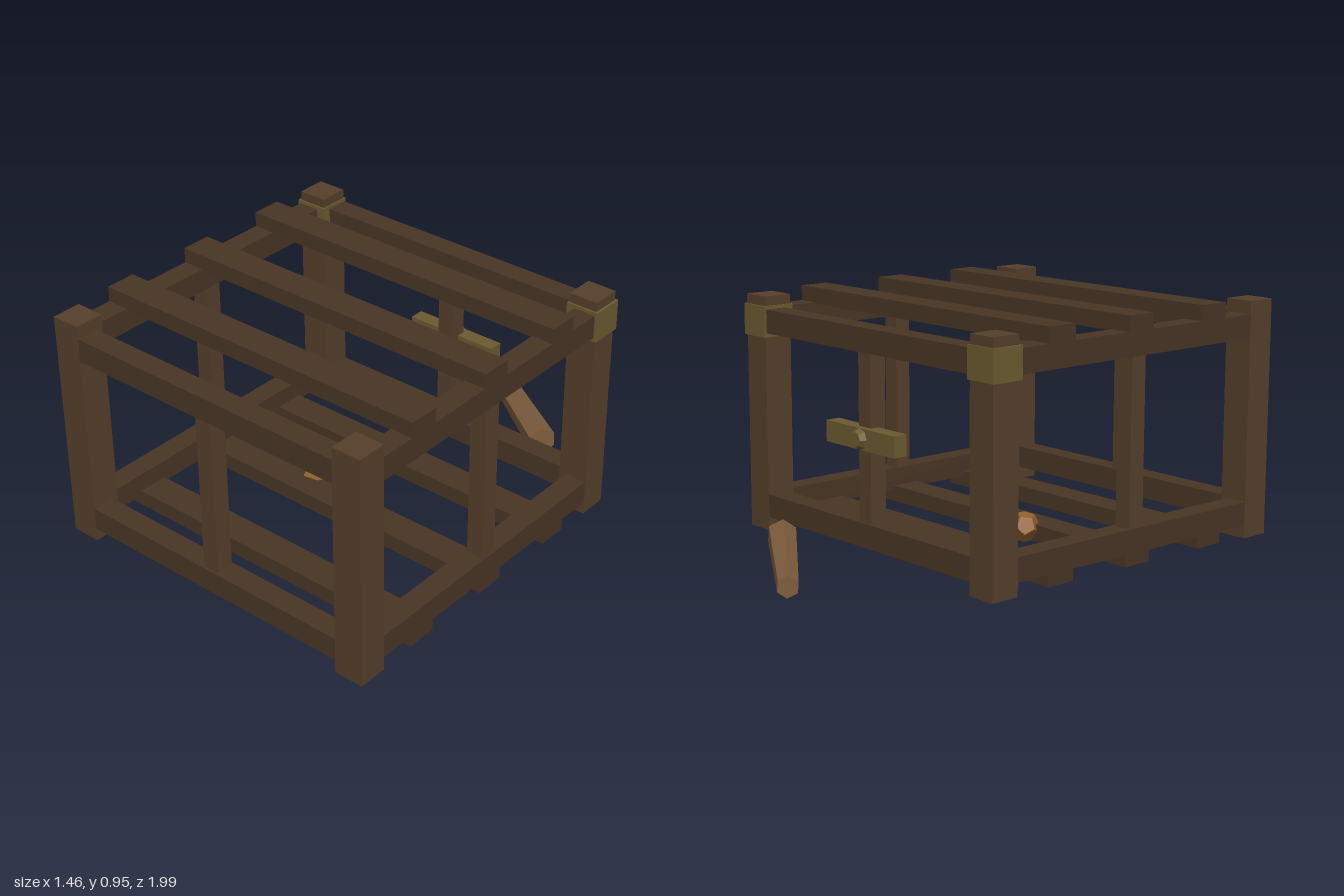
import * as THREE from 'three';

export function createModel() {
  const model = new THREE.Group();
  const mat = (color) => new THREE.MeshStandardMaterial({ color, flatShading: true });
  const postWood = mat(0x553f2a), railWood = mat(0x483524), brass = mat(0x6b5a30);
  const stickWood = mat(0x7d5d3d), ballWood = mat(0x92602c);

  const add = (name, geometry, material, x, y, z) => {
    const mesh = new THREE.Mesh(geometry, material);
    mesh.name = name;
    mesh.position.set(x, y, z);
    model.add(mesh);
    return mesh;
  };
  const box = (name, material, [w, h, d], x, y, z) =>
    add(name, new THREE.BoxGeometry(w, h, d), material, x, y, z);

  const midZ = 0.275; // crate centre along z

  for (const s of [-1, 1]) {
    // Corner posts, with metal bands on the back pair
    box('frontPost', postWood, [0.12, 0.935, 0.12], s * 0.66, 0.4675, 0.938);
    box('backPost', postWood, [0.12, 0.935, 0.12], s * 0.66, 0.4675, -0.388);
    box('cornerBand', brass, [0.135, 0.123, 0.135], s * 0.662, 0.836, -0.388);

    // Middle uprights on all four sides
    box('sideUpright', postWood, [0.07, 0.66, 0.07], s * 0.675, 0.4675, midZ);
    box('endUpright', postWood, [0.07, 0.66, 0.07], 0, 0.4675, midZ + s * 0.675);

    // Top and bottom rails
    for (const y of [0.099, 0.838]) {
      box('sideRail', railWood, [0.09, 0.093, 1.22], s * 0.674, y, midZ);
      box('endRail', railWood, [1.21, 0.093, 0.09], 0, y, midZ + s * 0.677);
    }
  }

  // Slats across the top and the floor
  for (const z of [-0.12, midZ, 0.67]) {
    box('topSlat', railWood, [1.44, 0.065, 0.124], 0, 0.912, z);
    box('floorSlat', railWood, [1.44, 0.065, 0.124], 0, 0.04, z);
  }

  // Latch bar and its tapered knob on the back
  box('latchBar', brass, [0.4, 0.082, 0.06], 0, 0.47, -0.43);
  add('latchKnob', new THREE.CylinderGeometry(0.03, 0.046, 0.03, 8), brass, 0, 0.47, -0.468)
    .rotation.x = -Math.PI / 2;

  // Tapered six-sided stick lying behind the crate
  const thin = new THREE.Vector3(-0.232, 0.052, -0.965);
  const thick = new THREE.Vector3(0.346, 0.055, -0.57);
  const axis = thick.clone().sub(thin);
  const stick = add('stick', new THREE.CylinderGeometry(0.06, 0.042, axis.length(), 6), stickWood,
    ...thin.clone().add(thick).multiplyScalar(0.5).toArray());
  stick.quaternion.setFromUnitVectors(new THREE.Vector3(0, 1, 0), axis.normalize());

  // Two faceted balls on the floor
  add('ball', new THREE.DodecahedronGeometry(0.062), ballWood, -0.19, 0.06, 0.198)
    .rotation.set(0.55, 0.3, 0);
  add('ball', new THREE.DodecahedronGeometry(0.06), ballWood, 0.136, 0.06, 0.39)
    .rotation.set(0.55, 0, 0);

  return model;
}
